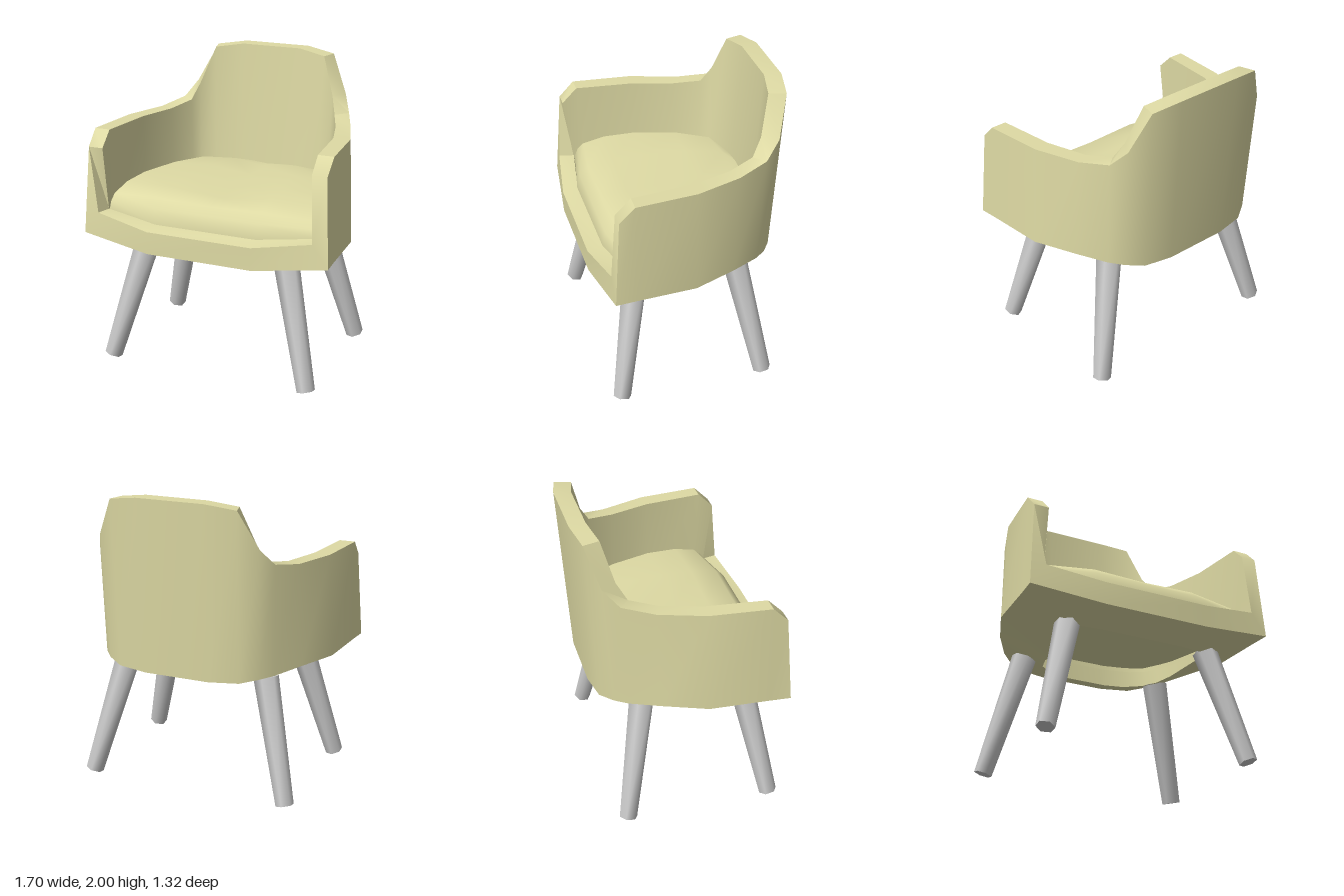
import * as THREE from 'three';
import { toCreasedNormals } from 'three/addons/utils/BufferGeometryUtils.js';

const fabric = new THREE.MeshStandardMaterial({ color: 0xdedaa4, side: THREE.DoubleSide });
const grey = new THREE.MeshStandardMaterial({ color: 0xcccccc });

// Skin a closed loop of cross-sections, each a list of [x, y, z] points
function loftLoop(sections, crease) {
  const pos = [];
  const same = (p, q) => p.every((v, k) => Math.abs(v - q[k]) < 1e-6);
  const tri = (p, q, r) => {
    if (!same(p, q) && !same(q, r) && !same(p, r)) pos.push(...p, ...q, ...r);
  };
  sections.forEach((s, i) => {
    const n = sections[(i + 1) % sections.length];
    for (let j = 0; j < s.length - 1; j++) {
      tri(s[j], n[j], n[j + 1]);
      tri(s[j], n[j + 1], s[j + 1]);
    }
  });
  const g = new THREE.BufferGeometry();
  g.setAttribute('position', new THREE.Float32BufferAttribute(pos, 3));
  return toCreasedNormals(g, crease);
}

function addMesh(parent, name, geometry, material) {
  const mesh = new THREE.Mesh(geometry, material);
  mesh.name = name;
  parent.add(mesh);
  return mesh;
}

// Left half of the shell, from the front apron round the arm to the back.
// Each section: bottom rim, outer low edge, outer top, inner top, inner low.
const shellHalf = [
  [[0.28, 0.76, 0.47], [0.36, 0.84, 0.66], [0.36, 0.99, 0.66], [0.34, 1.01, 0.56], [0.34, 0.95, 0.55]],
  [[0.5, 0.775, 0.42], [0.85, 0.9, 0.6], [0.745, 1.05, 0.6], [0.72, 1.05, 0.5], [0.72, 0.95, 0.49]],
  [[0.5, 0.775, 0.42], [0.85, 0.9, 0.6], [0.82, 1.48, 0.56], [0.72, 1.48, 0.56], [0.72, 0.95, 0.49]],
  [[0.47, 0.76, 0.3], [0.84, 0.9, 0.46], [0.825, 1.58, 0.46], [0.72, 1.58, 0.46], [0.71, 0.95, 0.42]],
  [[0.42, 0.73, 0.07], [0.82, 0.9, 0.07], [0.79, 1.58, 0.06], [0.68, 1.58, 0.07], [0.67, 0.95, 0.07]],
  [[0.42, 0.755, -0.12], [0.71, 0.9, -0.21], [0.69, 1.58, -0.24], [0.6, 1.58, -0.2], [0.59, 0.95, -0.2]],
  [[0.38, 0.77, -0.25], [0.6, 0.88, -0.4], [0.61, 1.615, -0.44], [0.53, 1.61, -0.375], [0.51, 0.95, -0.35]],
  [[0.33, 0.775, -0.3], [0.53, 0.87, -0.48], [0.55, 1.72, -0.54], [0.49, 1.72, -0.44], [0.47, 0.95, -0.4]],
  [[0.28, 0.78, -0.35], [0.42, 0.85, -0.55], [0.43, 1.97, -0.62], [0.4, 1.97, -0.51], [0.38, 0.95, -0.45]],
  [[0.15, 0.78, -0.38], [0.22, 0.84, -0.58], [0.23, 2, -0.66], [0.21, 2, -0.55], [0.2, 0.95, -0.49]],
];

function shellGeometry() {
  const mirrored = shellHalf.map((s) => s.map(([x, y, z]) => [-x, y, z])).reverse();
  return loftLoop([...shellHalf, ...mirrored], 0.75);
}

// Cushion rows, back to front: z at edge, z inside, half width, y at edge, between, centre
const cushionRows = [
  [-0.49, -0.5, 0.25, 1.18, 1.18, 1.17],
  [-0.42, -0.44, 0.46, 1.19, 1.2, 1.17],
  [-0.2, -0.2, 0.6, 1.19, 1.21, 1.17],
  [0.08, 0.08, 0.68, 1.19, 1.205, 1.165],
  [0.28, 0.3, 0.705, 1.18, 1.19, 1.16],
  [0.43, 0.48, 0.715, 1.14, 1.165, 1.155],
  [0.47, 0.54, 0.72, 1.1, 1.11, 1.11],
  [0.49, 0.56, 0.725, 1.05, 1.015, 1.015],
];

function cushionGeometry() {
  const row = ([ze, zm, w, e, m, c]) => [
    [-w, e, ze], [-w / 2, m, zm], [0, c, zm], [w / 2, m, zm], [w, e, ze],
  ];
  const top = cushionRows.map(row);
  const underside = top.map((r) => r.map(([x, , z]) => [x, 0.98, z])).reverse();
  return loftLoop([...top, ...underside], 0.8);
}

// Tapered leg between two points
function addLeg(parent, name, topEnd, foot) {
  const axis = new THREE.Vector3().subVectors(topEnd, foot);
  const cylinder = new THREE.CylinderGeometry(0.083, 0.06, axis.length(), 6);
  const leg = addMesh(parent, name, toCreasedNormals(cylinder, 1.2), grey);
  leg.position.addVectors(topEnd, foot).multiplyScalar(0.5);
  leg.quaternion.setFromUnitVectors(new THREE.Vector3(0, 1, 0), axis.normalize());
}

export function createModel() {
  const chair = new THREE.Group();
  chair.name = 'armchair';
  addMesh(chair, 'shell', shellGeometry(), fabric);
  addMesh(chair, 'seatCushion', cushionGeometry(), fabric);

  for (const [side, s] of [['Left', 1], ['Right', -1]]) {
    addLeg(chair, 'front' + side + 'Leg',
      new THREE.Vector3(0.5 * s, 0.8, 0.39), new THREE.Vector3(0.7 * s, 0.02, 0.54));
    addLeg(chair, 'back' + side + 'Leg',
      new THREE.Vector3(0.5 * s, 0.82, -0.29), new THREE.Vector3(0.7 * s, 0.02, -0.44));
  }
  return chair;
}
